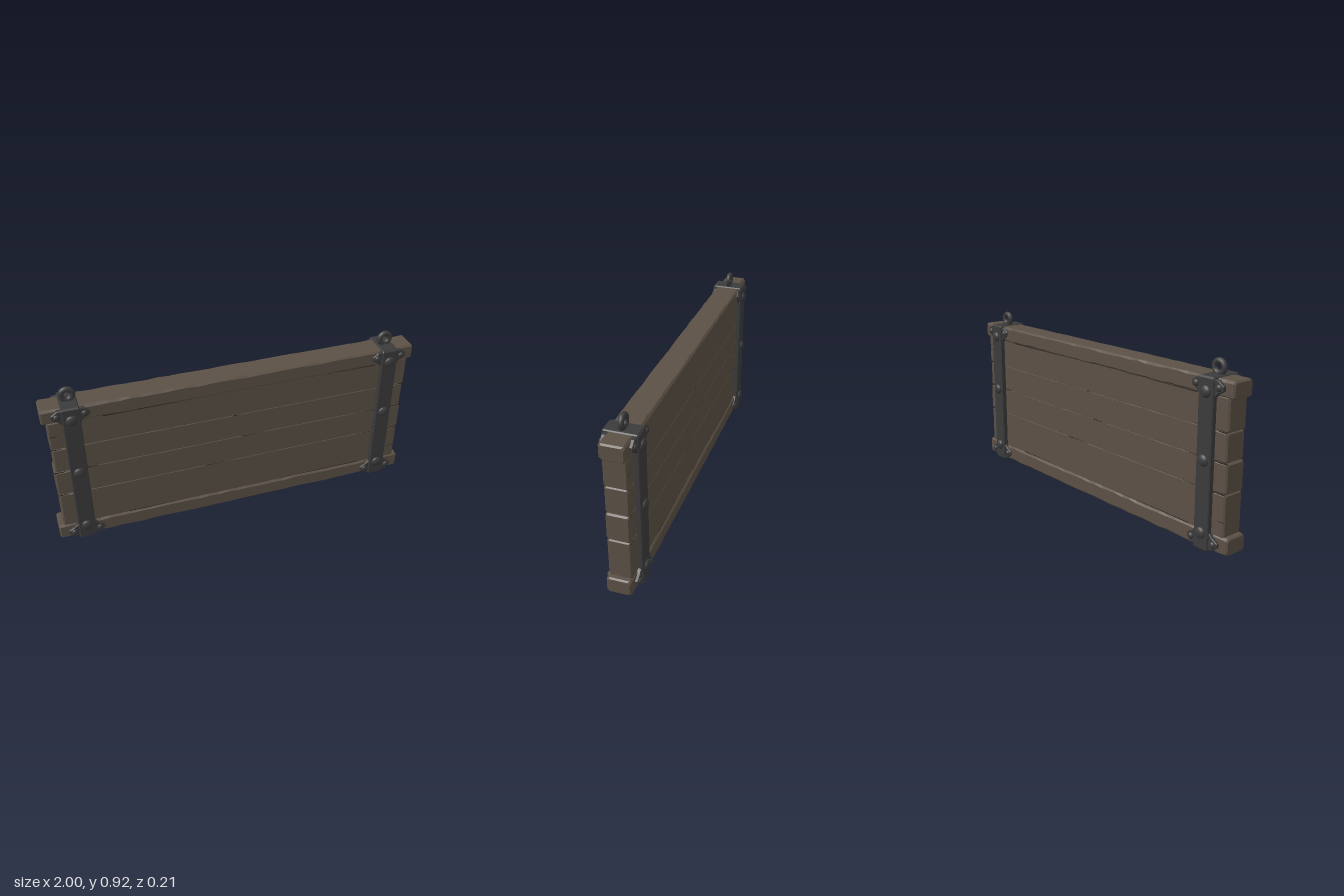
import * as THREE from 'three';

const material = (name, color, side = THREE.FrontSide) => {
  const m = new THREE.MeshStandardMaterial({ color, side });
  m.name = name;
  return m;
};

// Small seeded generator for worn edges
function seeded(seed) {
  let s = seed * 7919 + 17;
  return () => (s = (s * 16807) % 2147483647) / 2147483647;
}

// Bevelled timber along x; section(x) gives half depth and bevel, edges wander by wear
function timberGeometry(half, y0, y1, section, wear, seed) {
  const rand = seeded(seed), pos = [], index = [];
  const xs = [-half, -half + 0.008];
  const n = 36;
  for (let i = 1; i < n; i++) xs.push(-half + (2 * half * i) / n);
  xs.push(half - 0.008, half);
  const cy = (y0 + y1) / 2, hh = (y1 - y0) / 2;
  xs.forEach((x, i) => {
    const inset = i === 0 || i === xs.length - 1 ? 0.007 : 0;
    const { depth, bevel } = section(Math.abs(x));
    const h = hh - inset, d = depth - inset;
    for (const [sy, sz, yFirst] of [[1, 1, 1], [-1, 1, 0], [-1, -1, 1], [1, -1, 0]]) {
      const b = bevel + wear * rand();
      const a = [x, cy + sy * h, sz * (d - b)], c = [x, cy + sy * (h - b), sz * d];
      pos.push(...(yFirst ? [...a, ...c] : [...c, ...a]));
    }
  });
  for (let i = 0; i < xs.length - 1; i++) {
    for (let j = 0; j < 8; j++) {
      const a = i * 8 + j, b = i * 8 + ((j + 1) % 8);
      index.push(a, b, a + 8, b, b + 8, a + 8);
    }
  }
  const last = (xs.length - 1) * 8;
  for (let j = 1; j < 7; j++) {
    index.push(0, j + 1, j, last, last + j, last + j + 1);
  }
  const g = new THREE.BufferGeometry();
  g.setAttribute('position', new THREE.Float32BufferAttribute(pos, 3));
  g.setIndex(index);
  const flat = g.toNonIndexed();
  flat.computeVertexNormals();
  return flat;
}

export function createModel() {
  const model = new THREE.Group();
  model.name = 'hangingSignBoard';
  const wood = material('weathered wood', 0x5b5045);
  const iron = material('dark iron', 0x3b3b3c);
  const crackMat = material('crack shadow', 0x2c2621, THREE.DoubleSide);

  const add = (parent, name, geometry, mat, x = 0, y = 0, z = 0) => {
    const mesh = new THREE.Mesh(geometry, mat);
    mesh.name = name;
    mesh.position.set(x, y, z);
    parent.add(mesh);
    return mesh;
  };

  // Planks: nearly flush in the middle, rounder at the exposed ends
  const seams = [0.09, 0.305, 0.455, 0.6, 0.765];
  const plankSection = x => ({ depth: 0.059, bevel: x > 0.9 ? 0.006 : 0.0008 });
  for (let i = 0; i < 4; i++) {
    const half = [0.972, 0.976, 0.97, 0.975][i];
    add(model, 'plank', timberGeometry(half, seams[i] + 0.0005, seams[i + 1] - 0.0005, plankSection, 0.002, i + 3), wood);
  }
  add(model, 'seamCore', new THREE.BoxGeometry(1.92, 0.66, 0.1), crackMat, 0, 0.43, 0);

  // Rails: slimmer outside the straps
  const railSection = x => ({ depth: x > 0.86 ? 0.062 : 0.069, bevel: 0.006 });
  add(model, 'bottomRail', timberGeometry(1, 0.01, 0.097, railSection, 0.007, 11), wood);
  add(model, 'topRail', timberGeometry(1, 0.756, 0.84, railSection, 0.007, 12), wood);

  // Cracks: thin tapered slivers on both faces [x from, x to, y, thickness]
  const cracks = [
    [-0.975, -0.9, 0.455, 0.008], [-0.81, -0.74, 0.455, 0.006],
    [0.98, 0.68, 0.455, 0.007], [0.97, 0.7, 0.305, 0.007],
    [-0.975, -0.9, 0.305, 0.007], [-0.975, -0.9, 0.6, 0.007],
    [0.97, 0.9, 0.6, 0.007], [-0.02, 0.01, 0.6, 0.006],
    [0.03, 0.17, 0.455, 0.004], [-0.18, 0.0, 0.305, 0.004],
    [0.97, 0.92, 0.17, 0.005], [-0.97, -0.92, 0.68, 0.005],
    [-0.7, -0.16, 0.754, 0.006], [-0.62, -0.3, 0.099, 0.006],
    [0.75, 0.2, 0.1, 0.005], [0.78, 0.4, 0.754, 0.004],
  ];
  for (const turn of [0, Math.PI]) {
    const face = new THREE.Group();
    face.name = turn ? 'backCracks' : 'frontCracks';
    face.rotation.y = turn;
    for (const [x0, x1, y, t] of cracks) {
      const mid = (x0 + x1) / 2;
      const s = new THREE.Shape([
        new THREE.Vector2(x0, y - t / 2), new THREE.Vector2(mid, y - t / 3),
        new THREE.Vector2(x1, y), new THREE.Vector2(mid, y + t / 4), new THREE.Vector2(x0, y + t / 2),
      ]);
      add(face, 'crack', new THREE.ShapeGeometry(s), crackMat, 0, 0, 0.0598);
    }
    model.add(face);
  }

  // Strap loop around the board, drawn in depth and height
  const strapShape = new THREE.Shape();
  const W = 0.087, B = 0.008;
  [[-W + B, 0.004], [W - B, 0.004], [W, 0.004 + B], [W, 0.845 - B], [W - B, 0.845],
    [-W + B, 0.845], [-W, 0.845 - B], [-W, 0.004 + B]]
    .forEach(([z, y], i) => (i ? strapShape.lineTo(z, y) : strapShape.moveTo(z, y)));
  strapShape.closePath();
  strapShape.holes.push(new THREE.Path([
    new THREE.Vector2(-0.056, 0.016), new THREE.Vector2(-0.056, 0.834),
    new THREE.Vector2(0.056, 0.834), new THREE.Vector2(0.056, 0.016),
  ]));
  const strapGeo = new THREE.ExtrudeGeometry(strapShape, {
    depth: 0.08, bevelEnabled: true, bevelSize: 0.005, bevelOffset: -0.005, bevelThickness: 0.005, bevelSegments: 1,
  });
  strapGeo.translate(0, 0, -0.04).rotateY(Math.PI / 2);

  // Eared corner plate
  const side = [[0.045, 0.036], [0.066, 0.034], [0.096, 0.012], [0.096, -0.01], [0.066, -0.028], [0.044, -0.048]];
  const outline = [...side, ...side.map(([x, y]) => [-x, y]).reverse()];
  const plateGeo = new THREE.ExtrudeGeometry(
    new THREE.Shape(outline.map(p => new THREE.Vector2(...p)).reverse()),
    { depth: 0.016, bevelEnabled: true, bevelSize: 0.003, bevelOffset: -0.003, bevelThickness: 0.004, bevelSegments: 1 });

  const dome = (r, h) => new THREE.SphereGeometry(r, 18, 6, 0, Math.PI * 2, 0, Math.PI / 2)
    .scale(1, h / r, 1).rotateX(Math.PI / 2);
  const largeBolt = dome(0.03, 0.017), smallBolt = dome(0.017, 0.012);
  const ringGeo = new THREE.TorusGeometry(0.029, 0.0145, 12, 28);

  for (const sx of [1, -1]) {
    const fitting = new THREE.Group();
    fitting.name = sx > 0 ? 'leftStrapFitting' : 'rightStrapFitting';
    fitting.position.x = sx * 0.854;
    add(fitting, 'strap', strapGeo, iron);
    add(fitting, 'hangingRing', ringGeo, iron, 0, 0.876, 0);
    for (const turn of [0, Math.PI]) {
      const face = new THREE.Group();
      face.name = turn ? 'backHardware' : 'frontHardware';
      face.rotation.y = turn;
      for (const y of [0.775, 0.45, 0.092]) add(face, 'largeBolt', largeBolt, iron, 0, y, 0.086);
      for (const [y, flip] of [[0.8, 0], [0.052, Math.PI]]) {
        add(face, 'earPlate', plateGeo, iron, 0, y, 0.058).rotation.z = flip;
        for (const ex of [-0.069, 0.069]) add(face, 'smallBolt', smallBolt, iron, ex, y + (flip ? -0.002 : 0.002), 0.077);
      }
      fitting.add(face);
    }
    model.add(fitting);
  }
  return model;
}
